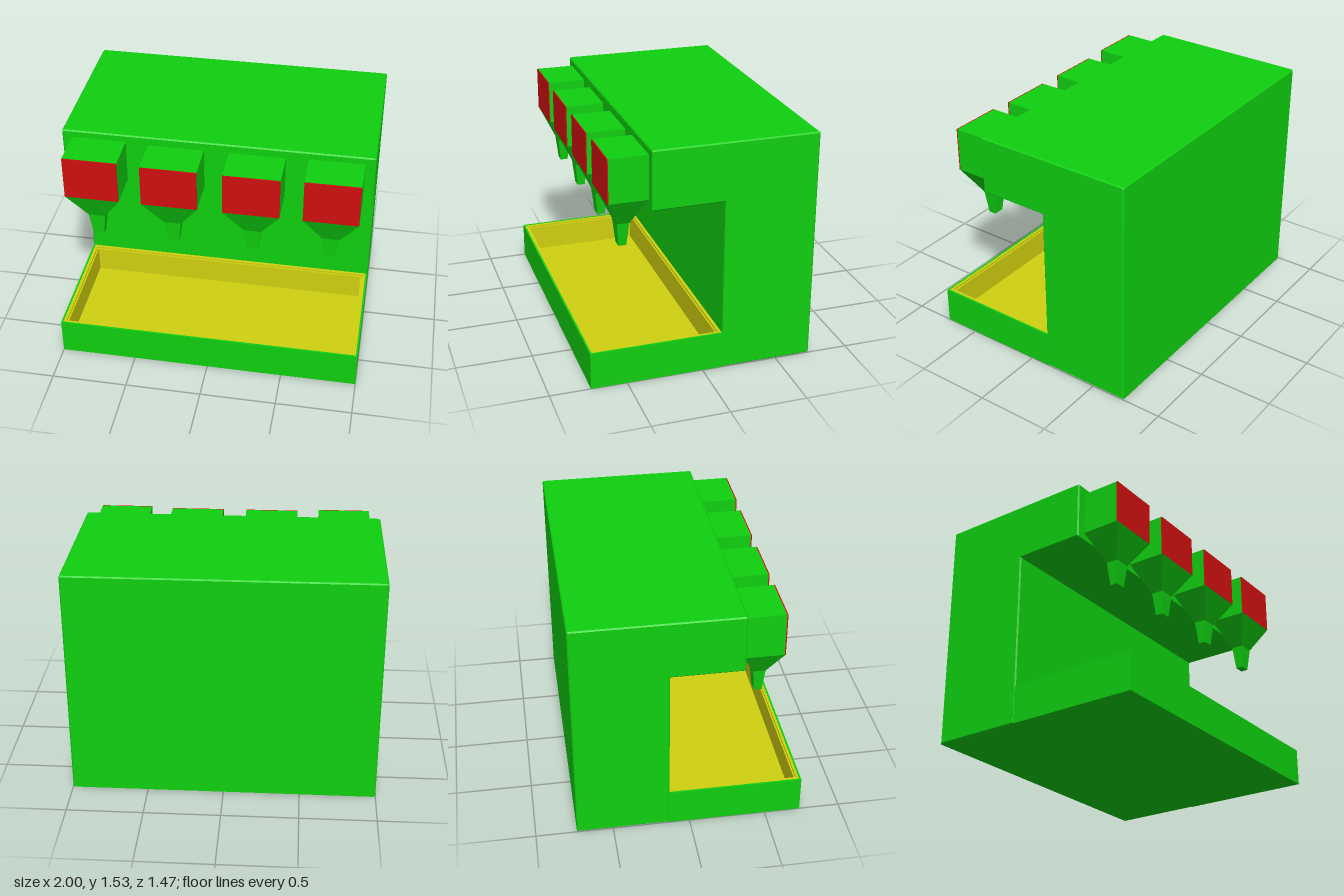
import * as THREE from 'three';

const green = new THREE.MeshStandardMaterial({ color: 0x10d010 });
const red = new THREE.MeshStandardMaterial({ color: 0xd01010 });
const yellow = new THREE.MeshStandardMaterial({ color: 0xd0d010 });

function add(parent, name, geometry, material) {
  const mesh = new THREE.Mesh(geometry, material);
  mesh.name = name;
  parent.add(mesh);
  return mesh;
}

// Box given by its limits
function block(x0, x1, y0, y1, z0, z1) {
  return new THREE.BoxGeometry(x1 - x0, y1 - y0, z1 - z0)
    .translate((x0 + x1) / 2, (y0 + y1) / 2, (z0 + z1) / 2);
}

// Four-sided taper: a box whose lower corners are drawn in
function taper(topW, topD, botW, botD, y0, y1) {
  const g = new THREE.BoxGeometry(topW, y1 - y0, topD);
  const p = g.attributes.position;
  for (let i = 0; i < p.count; i++) {
    if (p.getY(i) < 0) {
      p.setX(i, Math.sign(p.getX(i)) * botW / 2);
      p.setZ(i, Math.sign(p.getZ(i)) * botD / 2);
    }
  }
  g.translate(0, (y0 + y1) / 2, 0);
  g.computeVertexNormals();
  return g;
}

// Rectangular frame lying flat: [half width, z back, z front] outside and inside
function frame([ow, ob, of], [iw, ib, inf], y0, y1) {
  const loop = (w, b, f) => [[-w, -f], [w, -f], [w, -b], [-w, -b]].map(([x, y]) => new THREE.Vector2(x, y));
  const shape = new THREE.Shape(loop(ow, ob, of));
  shape.holes.push(new THREE.Path(loop(iw, ib, inf)));
  return new THREE.ExtrudeGeometry(shape, { depth: y1 - y0, bevelEnabled: false })
    .rotateX(-Math.PI / 2).translate(0, y0, 0);
}

export function createModel() {
  const model = new THREE.Group();

  // Upright with overhanging top, extruded across the width with a fine edge bevel
  const c = 0.008;
  const profile = new THREE.Shape([
    [-0.735, 0], [-0.13, 0], [-0.13, 1.15], [0.335, 1.15], [0.335, 1.535 - c],
    [0.335 - c, 1.535], [-0.735 + c, 1.535], [-0.735, 1.535 - c],
  ].map(([z, y]) => new THREE.Vector2(z, y)));
  const bodyGeo = new THREE.ExtrudeGeometry(profile, {
    depth: 2 - 2 * c, bevelSize: c, bevelThickness: c, bevelOffset: -c, bevelSegments: 1,
  }).translate(0, 0, -1 + c).rotateY(-Math.PI / 2);
  add(model, 'body', bodyGeo, green);

  // Base: rim walls around the tray and a closed underside
  const base = new THREE.Group();
  base.name = 'base';
  model.add(base);
  add(base, 'baseWalls', frame([1, -0.135, 0.735], [0.988, -0.13, 0.723], 0, 0.247), green);
  add(base, 'baseBottom', block(-0.99, 0.99, 0, 0.04, -0.135, 0.73), green);

  // Drip tray with a stepped rim
  const tray = new THREE.Group();
  tray.name = 'dripTray';
  model.add(tray);
  add(tray, 'trayRim', frame([0.988, -0.13, 0.723], [0.967, -0.109, 0.706], 0.05, 0.245), yellow);
  add(tray, 'trayWall', frame([0.967, -0.109, 0.706], [0.956, -0.098, 0.695], 0.05, 0.233), yellow);
  add(tray, 'trayFloor', block(-0.98, 0.98, 0.04, 0.055, -0.125, 0.715), yellow);

  // Four dispenser heads, each with a front panel, funnel and spout
  for (const x of [-0.76, -0.26, 0.26, 0.76]) {
    const inner = Math.abs(x) < 0.5;
    const w = inner ? 0.36 : 0.35;
    const top = inner ? 1.478 : 1.488;
    const head = new THREE.Group();
    head.name = 'dispenser';
    head.position.x = x;
    add(head, 'headBox', block(-w / 2, w / 2, 1.2, top, 0.325, 0.585), green);
    add(head, 'frontPanel', block(-w / 2, w / 2, 1.2, top, 0.585, 0.592), red);
    add(head, 'funnel', taper(w, 0.256, 0.11, 0.08, 1.01, 1.2), green).position.z = 0.463;
    add(head, 'spout', taper(0.11, 0.08, 0.07, 0.05, 0.855, 1.01), green).position.z = 0.463;
    model.add(head);
  }
  return model;
}
